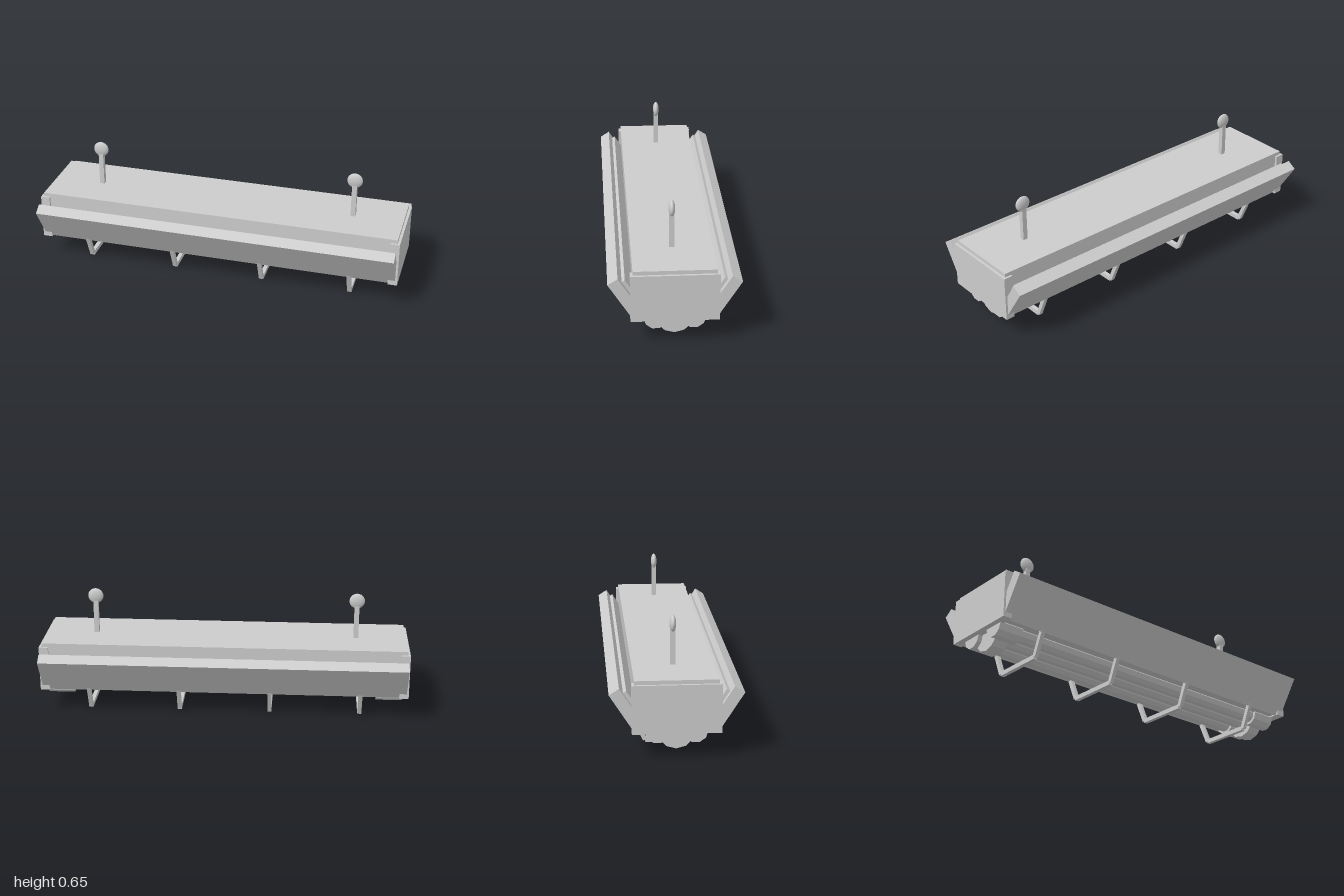
import * as THREE from 'three';

export function createModel() {
  const model = new THREE.Group();
  model.name = 'hangingTubeLamp';
  const smooth = new THREE.MeshStandardMaterial({ color: 0xcccccc });
  smooth.name = 'light grey';

  const add = (name, geometry, x, y, z) => {
    const mesh = new THREE.Mesh(geometry, smooth);
    mesh.name = name;
    mesh.position.set(x, y, z);
    model.add(mesh);
    return mesh;
  };
  const box = (name, w, h, d, x, y, z) => add(name, new THREE.BoxGeometry(w, h, d), x, y, z);

  // Slab running between two points of the z-y plane, extruded along x
  const slab = (name, width, thick, x, [z0, y0], [z1, y1]) => {
    const dz = z1 - z0, dy = y1 - y0;
    const mesh = box(name, width, Math.hypot(dz, dy), thick, x, (y0 + y1) / 2, (z0 + z1) / 2);
    mesh.rotation.x = Math.atan2(dz, dy);
  };

  // Faceted cylinder lying along x
  const lyingCylinder = (name, r, length, sides, x, y, z) => {
    const g = new THREE.CylinderGeometry(r, r, length, sides).rotateZ(Math.PI / 2).toNonIndexed();
    g.computeVertexNormals();
    add(name, g, x, y, z);
  };

  // Housing and end caps
  box('housing', 1.97, 0.258, 0.412, 0, 0.269, 0);
  for (const s of [-1, 1]) box('endCap', 0.05, 0.246, 0.437, s * 0.974, 0.255, 0);

  // Slanted side reflectors with a thin inner plate
  for (const s of [-1, 1]) {
    slab('reflector', 1.975, 0.059, 0, [s * 0.175, 0.146], [s * 0.303, 0.3465]);
    slab('reflectorLiner', 1.92, 0.018, 0, [s * 0.143, 0.168], [s * 0.2505, 0.3365]);
  }

  // Tubes and their sockets
  for (const z of [-0.094, 0, 0.094]) {
    lyingCylinder('tube', 0.045, 1.8, 10, 0, 0.134, z);
    for (const s of [-1, 1]) {
      if (z === 0) lyingCylinder('centreSocket', 0.096, 0.08, 12, s * 0.905, 0.133, 0);
      else lyingCylinder('sideSocket', 0.06, 0.14, 10, s * 0.9, 0.134, z);
    }
  }

  // Guard brackets under the tubes
  for (const x of [-0.742, -0.25, 0.245, 0.737]) {
    box('guardBar', 0.022, 0.024, 0.28, x, 0.0135, 0);
    for (const s of [-1, 1])
      slab('guardLeg', 0.022, 0.022, x, [s * 0.142, 0.014], [s * 0.203, 0.16]);
  }

  // Hanging rods with flattened knobs
  for (const s of [-1, 1]) {
    box('hangerRod', 0.026, 0.2, 0.026, s * 0.713, 0.49, 0);
    add('hangerKnob', new THREE.SphereGeometry(0.042, 24, 16).scale(1, 1, 0.4), s * 0.713, 0.606, 0);
  }
  return model;
}
